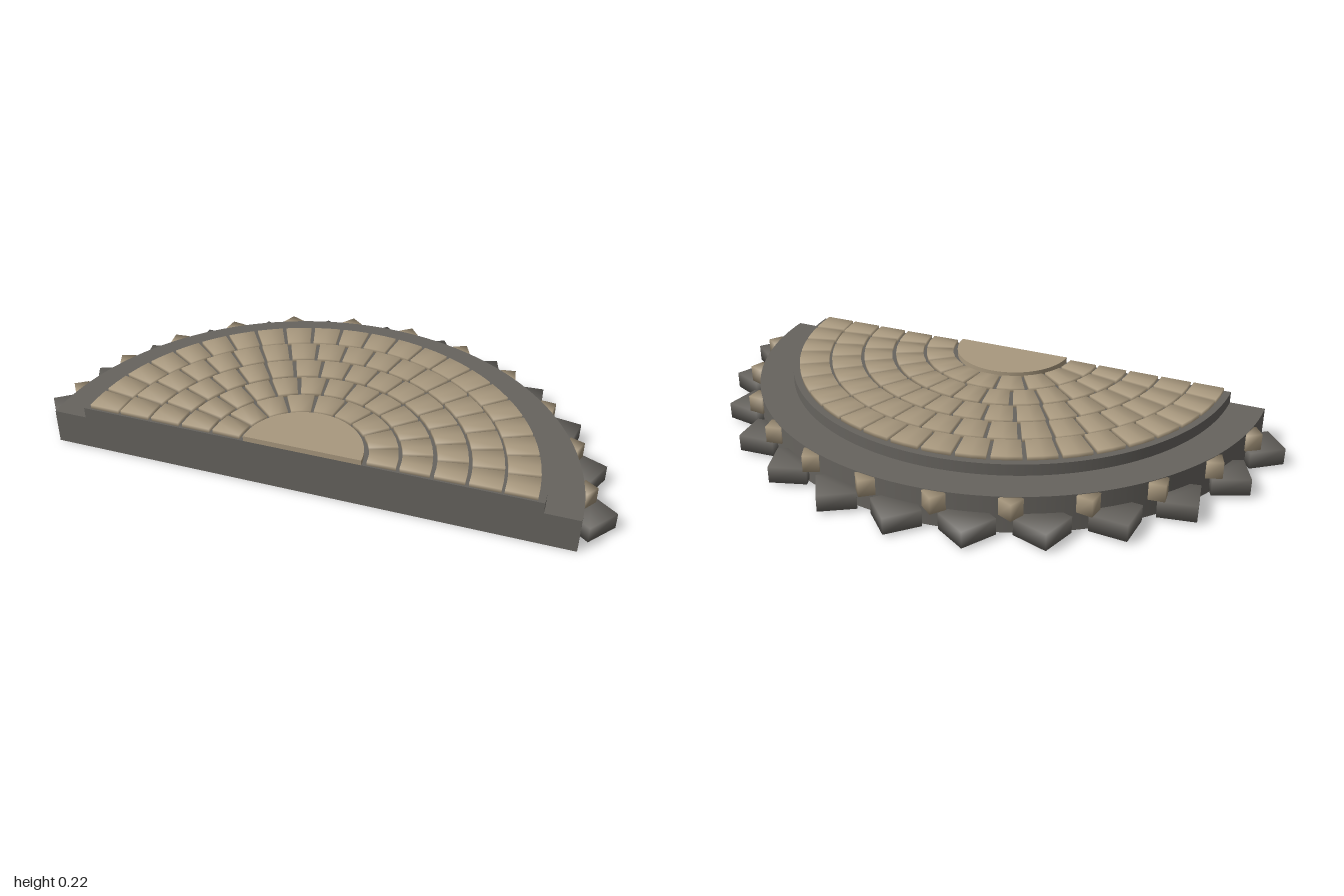
import * as THREE from 'three';
import { mergeVertices } from 'three/addons/utils/BufferGeometryUtils.js';

const MID = Math.PI / 4;          // direction the round side faces
const CENTRE = [-0.225, 0.225];   // x, z of the middle of the straight edge

// Share corner normals so small blocks look softly worn
function soften(geometry) {
  geometry.deleteAttribute('normal');
  geometry.deleteAttribute('uv');
  const merged = mergeVertices(geometry);
  merged.computeVertexNormals();
  return merged;
}

// Half disc lying flat, from height y0 to y1
function halfDisc(radius, y0, y1) {
  const shape = new THREE.Shape();
  shape.absarc(0, 0, radius, MID - Math.PI / 2, MID + Math.PI / 2, false);
  shape.closePath();
  const g = new THREE.ExtrudeGeometry(shape, { depth: y1 - y0, bevelEnabled: false, curveSegments: 48 });
  g.rotateX(-Math.PI / 2);
  g.translate(0, y0, 0);
  // smooth the curved wall, keep the straight cut flat
  const p = g.attributes.position, n = g.attributes.normal;
  for (let i = 0; i < p.count; i++) {
    const x = p.getX(i), z = p.getZ(i);
    const facing = (n.getX(i) - n.getZ(i)) * Math.SQRT1_2;
    const onCut = Math.abs(facing + 1) < 0.01;
    if (Math.abs(n.getY(i)) < 0.5 && !onCut) n.setXYZ(i, x / radius, 0, z / radius);
  }
  return g;
}

// Paving brick: a box bent into a ring sector
function brickGeometry(r0, r1, angle, span, y0, y1) {
  const g = new THREE.BoxGeometry(1, 1, 1, 2, 1, 1);
  const p = g.attributes.position;
  for (let i = 0; i < p.count; i++) {
    const a = angle - p.getX(i) * span;
    const r = THREE.MathUtils.lerp(r1, r0, p.getZ(i) + 0.5);
    const y = THREE.MathUtils.lerp(y0, y1, p.getY(i) + 0.5);
    p.setXYZ(i, r * Math.cos(a), y, -r * Math.sin(a));
  }
  return soften(g);
}

export function createModel() {
  const darkStone = new THREE.MeshStandardMaterial({ color: 0x66635e });
  darkStone.name = 'dark stone';
  const tanStone = new THREE.MeshStandardMaterial({ color: 0xa8987e });
  tanStone.name = 'tan stone';

  const model = new THREE.Group();
  model.name = 'halfRoundPavedStep';
  const step = new THREE.Group();
  step.name = 'step';
  step.position.set(CENTRE[0], 0, CENTRE[1]);
  model.add(step);

  const add = (parent, geometry, material, name) => {
    const mesh = new THREE.Mesh(geometry, material);
    mesh.name = name;
    parent.add(mesh);
    return mesh;
  };
  const addGroup = (name) => {
    const group = new THREE.Group();
    group.name = name;
    step.add(group);
    return group;
  };

  // Stacked half discs
  add(step, halfDisc(1.095, 0, 0.15), darkStone, 'base');
  add(step, halfDisc(0.953, 0.15, 0.197), darkStone, 'upperTier');
  add(step, halfDisc(0.245, 0.197, 0.22), tanStone, 'centreStone');

  // Rings of paving bricks: inner radius, outer radius, count
  const paving = addGroup('paving');
  const rings = [[0.8, 0.925, 22], [0.665, 0.788, 19], [0.53, 0.65, 16], [0.395, 0.513, 13], [0.265, 0.38, 9]];
  for (const [r0, r1, count] of rings) {
    const pitch = Math.PI / count;
    const span = pitch - 0.016 / ((r0 + r1) / 2);
    for (let i = 0; i < count; i++) {
      const angle = MID - Math.PI / 2 + (i + 0.5) * pitch;
      add(paving, brickGeometry(r0, r1, angle, span, 0.19, 0.214), tanStone, 'brick');
    }
  }

  // Square stones round the rim, each with a corner pointing outwards
  function rimStones(name, count, pitchDegrees, tip, side, y0, y1, material) {
    const group = addGroup(name + 's');
    const geometry = soften(new THREE.BoxGeometry(side, y1 - y0, side));
    const r = tip - side * Math.SQRT1_2;
    for (let i = 0; i < count; i++) {
      const a = MID + THREE.MathUtils.degToRad((i - (count - 1) / 2) * pitchDegrees);
      const stone = add(group, geometry, material, name);
      stone.position.set(r * Math.cos(a), (y0 + y1) / 2, -r * Math.sin(a));
      stone.rotation.y = a + Math.PI / 4;
    }
  }
  rimStones('lowerRimStone', 13, 13.67, 1.227, 0.148, 0.012, 0.08, darkStone);
  rimStones('upperRimStone', 12, 14.4, 1.147, 0.064, 0.08, 0.148, tanStone);

  return model;
}
